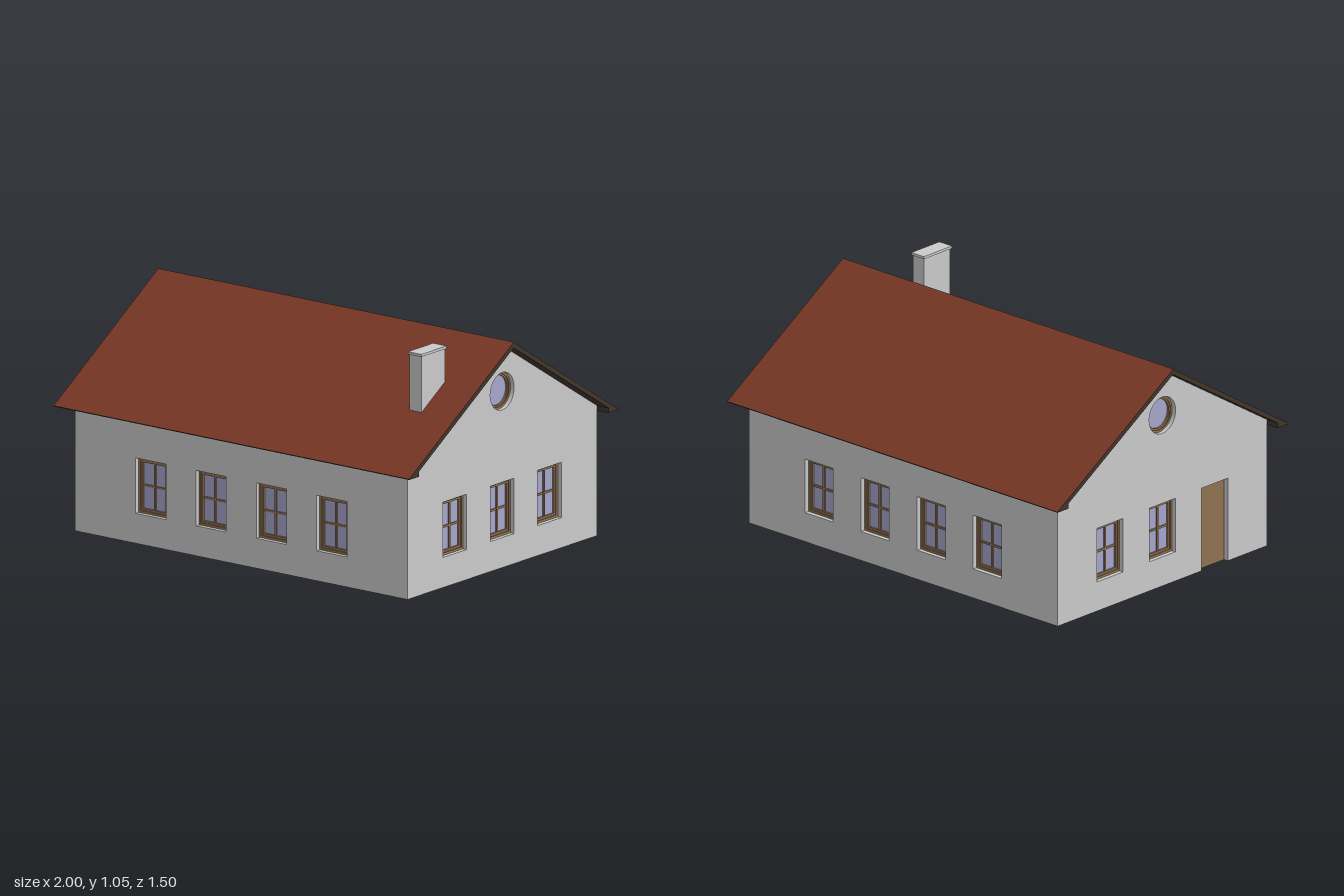
import * as THREE from 'three';

const mat = (color) => new THREE.MeshStandardMaterial({ color });
const plaster = mat(0xcccccc), wood = mat(0x917352), glass = mat(0xa6a6cc);
const tile = mat(0x7c3926), timber = mat(0x42352c);

const HX = 0.935, HZ = 0.68, T = 0.075;            // half length, half width, wall thickness
const EAVE = 0.6, PEAK = 1.022;                    // underside of the roof at the wall and at the ridge
const WIN = { w: 0.17, h: 0.254, y: 0.265 };
const ROUND = { r: 0.086, y: 0.81 };
const ROWS = [-0.509, -0.17, 0.17, 0.509];

function mesh(name, geometry, material) {
  const m = new THREE.Mesh(geometry, material);
  m.name = name;
  return m;
}

const polygon = (points) => new THREE.Shape(points.map(([x, y]) => new THREE.Vector2(x, y)));

function rect(w, h, x = 0, y = 0) {
  const a = w / 2, b = h / 2;
  return polygon([[x - a, y - b], [x + a, y - b], [x + a, y + b], [x - a, y + b]]);
}

function disc(r, x = 0, y = 0) {
  const s = new THREE.Shape();
  s.absarc(x, y, r, 0, Math.PI * 2, false);
  return s;
}

// Extrudes a shape, centred on its depth
function slab(shape, depth, holes = []) {
  shape.holes.push(...holes);
  return new THREE.ExtrudeGeometry(shape, { depth, bevelEnabled: false, curveSegments: 32 })
    .translate(0, 0, -depth / 2);
}

// Same, but along x: the shape's horizontal axis becomes -z
const slabX = (shape, depth, holes) => slab(shape, depth, holes).rotateY(Math.PI / 2);

// Four-pane window facing +z
function sashWindow() {
  const g = new THREE.Group();
  const { w, h } = WIN;
  g.name = 'window';
  g.add(
    mesh('outerFrame', slab(rect(w, h), 0.034, [rect(w - 0.022, h - 0.022)]), wood),
    mesh('sash', slab(rect(w - 0.022, h - 0.022), 0.024, [rect(w - 0.042, h - 0.042)]), wood),
    mesh('verticalBar', new THREE.BoxGeometry(0.01, h - 0.042, 0.018), wood),
    mesh('horizontalBar', new THREE.BoxGeometry(w - 0.042, 0.01, 0.016), wood),
    mesh('glass', new THREE.BoxGeometry(w - 0.042, h - 0.042, 0.006), glass));
  return g;
}

// Round attic window facing +z
function roundWindow() {
  const g = new THREE.Group();
  const { r } = ROUND;
  g.name = 'roundWindow';
  g.add(
    mesh('outerFrame', slab(disc(r), 0.034, [disc(r - 0.01)]), wood),
    mesh('sash', slab(disc(r - 0.01), 0.024, [disc(r - 0.018)]), wood),
    mesh('glass', slab(disc(r - 0.018), 0.006), glass));
  return g;
}

function place(obj, x, y, z, turn = 0) {
  obj.position.set(x, y, z);
  obj.rotation.y = turn;
  return obj;
}

export function createModel() {
  const house = new THREE.Group();
  house.name = 'house';
  const { w, h, y } = WIN;
  const top = y + h / 2;

  // Long walls with four windows each
  for (const s of [1, -1]) {
    const z = s * (HZ - T / 2);
    const wall = slab(rect(2 * (HX - T), EAVE, 0, EAVE / 2), T, ROWS.map((x) => rect(w, h, x, y)));
    house.add(place(mesh(s > 0 ? 'frontWall' : 'backWall', wall, plaster), 0, 0, z));
    for (const x of ROWS) house.add(place(sashWindow(), x, y, z, s > 0 ? 0 : Math.PI));
  }

  // Gable walls; the one at -x has a doorway in place of a window
  for (const s of [1, -1]) {
    const x = s * (HX - T / 2), turn = s * Math.PI / 2;
    const spots = s > 0 ? [-0.34, 0, 0.34] : [-0.34, 0];
    const doorway = s > 0 ? [] : [
      [-0.34 - w / 2, 0], [-0.34 - w / 2, top], [-0.34 + w / 2, top], [-0.34 + w / 2, 0]];
    const outline = polygon([[-HZ, 0], ...doorway, [HZ, 0], [HZ, EAVE], [0, PEAK], [-HZ, EAVE]]);
    const holes = [disc(ROUND.r, 0, ROUND.y), ...spots.map((z) => rect(w, h, -z, y))];
    house.add(place(mesh(s > 0 ? 'leftGable' : 'rightGable', slabX(outline, T, holes), plaster), x, 0, 0));
    for (const z of spots) house.add(place(sashWindow(), x, y, z, turn));
    house.add(place(roundWindow(), x, ROUND.y, 0, turn));
  }

  // Door
  house.add(place(mesh('door', new THREE.BoxGeometry(0.03, top, w), wood), -HX + T / 2, top / 2, 0.34));

  // Roof structure with boxed eaves
  const roof = polygon([
    [-0.75, 0.575], [-HZ, 0.575], [-HZ, 0.598], [0, 1.02], [HZ, 0.598], [HZ, 0.575],
    [0.75, 0.575], [0.75, 0.578], [0, 1.045], [-0.75, 0.578]]);
  house.add(mesh('roofStructure', slabX(roof, 2), timber));

  // Tiled surface on both slopes
  const rise = 1.045 - 0.578, slope = Math.atan2(rise, 0.75);
  for (const s of [1, -1]) {
    const tiles = new THREE.PlaneGeometry(2, Math.hypot(rise, 0.75));
    tiles.rotateX(-Math.PI / 2).rotateX(s * slope);
    house.add(place(mesh('roofTiles', tiles, tile), 0, 0.578 + rise / 2 + 0.002, s * 0.375));
  }

  // Chimney, its foot cut to the roof slope
  const stack = polygon([[-0.424, 0.768], [-0.256, 0.872], [-0.256, 1.04], [-0.424, 1.04]]);
  house.add(place(mesh('chimney', slabX(stack, 0.067), plaster), 0.78, 0, 0));
  house.add(place(mesh('chimneyCap', new THREE.BoxGeometry(0.076, 0.012, 0.182), plaster), 0.78, 1.046, 0.34));

  return house;
}
